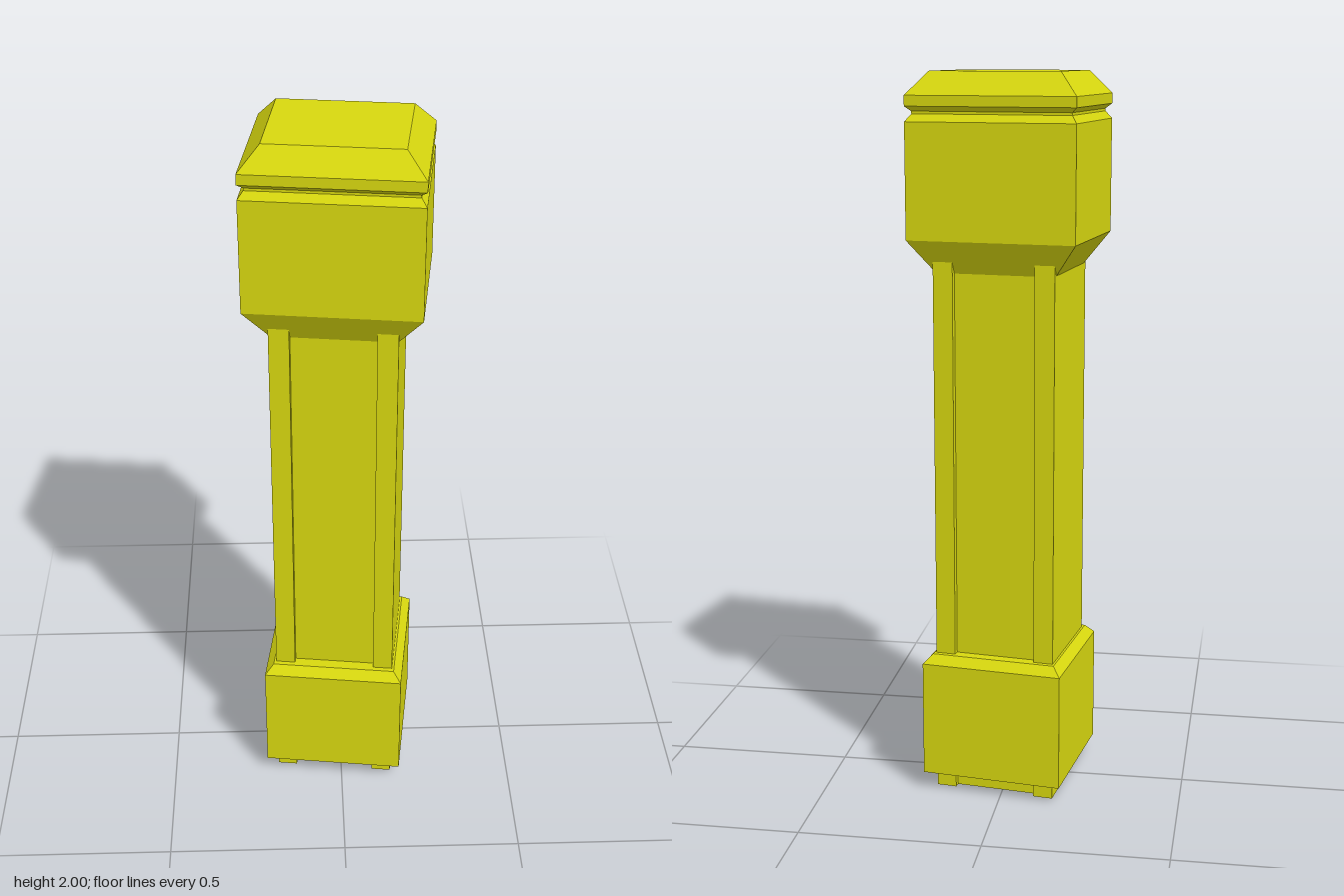
import * as THREE from 'three';

// Stacked rectangular sections [y, halfWidth, halfDepth], flat faced and capped at both ends
function loftBox(sections) {
  const pos = [];
  const ring = ([y, w, d]) => [[-w, y, d], [w, y, d], [w, y, -d], [-w, y, -d]];
  const quad = (a, b, c, d) => pos.push(...a, ...b, ...c, ...a, ...c, ...d);
  for (let i = 0; i < sections.length - 1; i++) {
    const lo = ring(sections[i]), hi = ring(sections[i + 1]);
    for (let k = 0; k < 4; k++) {
      const n = (k + 1) % 4;
      quad(lo[k], lo[n], hi[n], hi[k]);
    }
  }
  const b = ring(sections[0]), t = ring(sections[sections.length - 1]);
  quad(b[3], b[2], b[1], b[0]);
  quad(t[0], t[1], t[2], t[3]);
  const geo = new THREE.BufferGeometry();
  geo.setAttribute('position', new THREE.Float32BufferAttribute(pos, 3));
  geo.computeVertexNormals();
  return geo;
}

export function createModel() {
  const yellow = new THREE.MeshStandardMaterial({ color: 0xd8d80f });
  yellow.name = 'yellow';
  const group = new THREE.Group();
  group.name = 'post';
  const add = (name, geo) => {
    const mesh = new THREE.Mesh(geo, yellow);
    mesh.name = name;
    group.add(mesh);
  };

  // Shaft: one H-shaped section, with a shallow recess front and back between corner strips
  const w = 0.169, d = 0.164, strip = 0.055, recess = 0.018;
  const i = w - strip, p = d - recess;
  const section = new THREE.Shape([
    [-w, -d], [-i, -d], [-i, -p], [i, -p], [i, -d], [w, -d],
    [w, d], [i, d], [i, p], [-i, p], [-i, d], [-w, d],
  ].map(([x, y]) => new THREE.Vector2(x, y)));
  const shaft = new THREE.ExtrudeGeometry(section, { depth: 1.52, bevelEnabled: false });
  shaft.rotateX(-Math.PI / 2);
  add('shaft', shaft);

  // Plinth with a chamfered top edge
  add('plinth', loftBox([[0.05, 0.198, 0.201], [0.375, 0.198, 0.201], [0.4, 0.175, 0.178]]));

  // Head: flared underside, block, narrow groove, bevelled cap
  add('head', loftBox([
    [1.47, 0.166, 0.146],
    [1.56, 0.2325, 0.197],
    [1.87, 0.2325, 0.197],
    [1.89, 0.2175, 0.182],
    [1.897, 0.2175, 0.182],
    [1.91, 0.2325, 0.197],
    [1.938, 0.2325, 0.197],
    [2.0, 0.1785, 0.1505],
  ]));

  // The whole post stands slightly turned
  group.rotation.y = -0.13;
  const model = new THREE.Group();
  model.name = 'model';
  model.add(group);
  return model;
}
